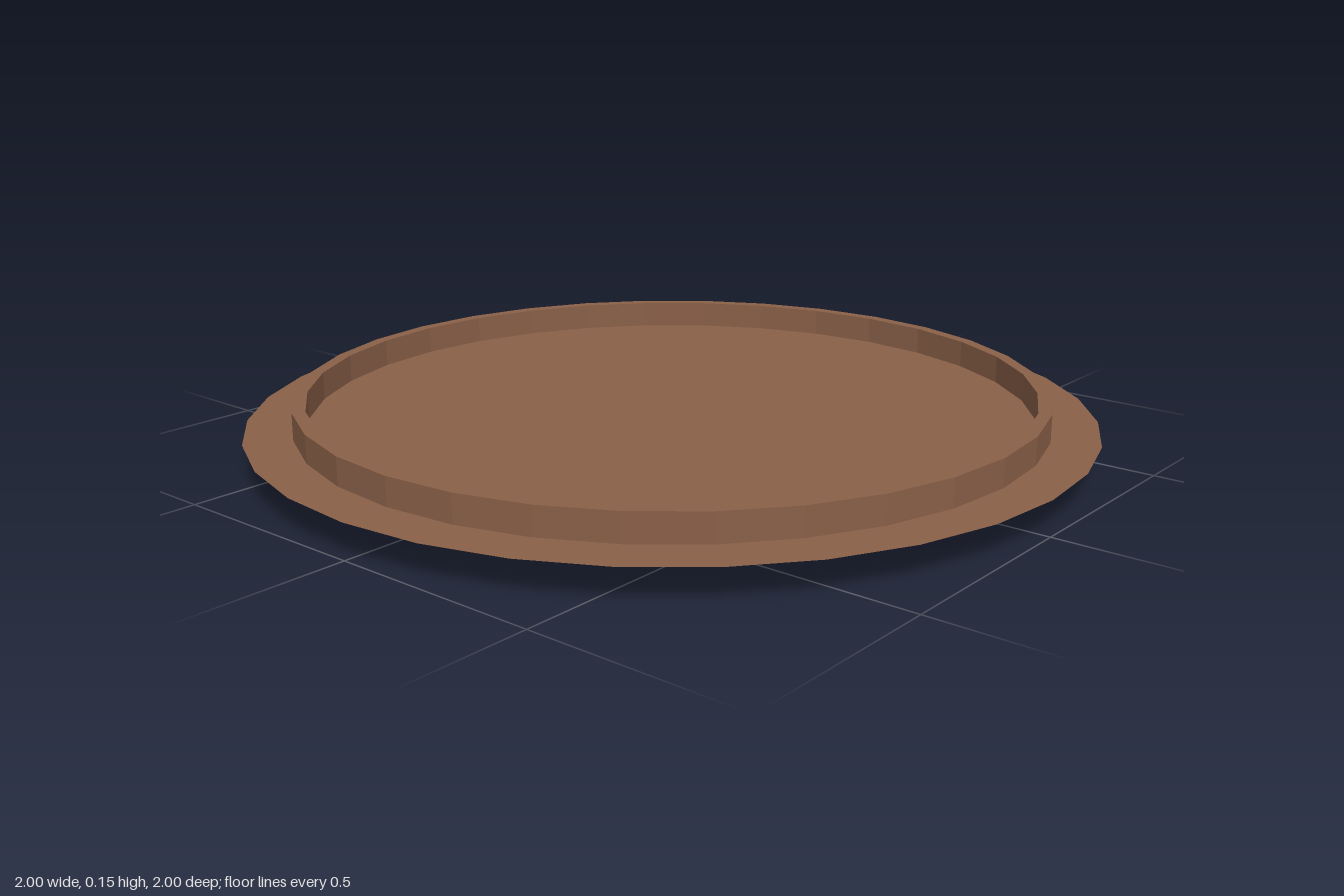
import * as THREE from 'three';

const SIDES = 32;

// Faceted solid of revolution; the profile runs from the underside outwards and back over the top
function turned(name, profile, material) {
  const points = profile.map(([r, y]) => new THREE.Vector2(r, y));
  const mesh = new THREE.Mesh(new THREE.LatheGeometry(points, SIDES), material);
  mesh.name = name;
  return mesh;
}

export function createModel() {
  const group = new THREE.Group();
  group.name = 'roundTray';
  const brown = new THREE.MeshStandardMaterial({ color: 0x8a6048, flatShading: true });
  brown.name = 'brown';

  // Shallow dish with a sharp outer edge and a flat top
  group.add(turned('dish', [[0, 0.006], [0.53, 0.006], [0.83, 0.035], [1, 0.08], [0, 0.08]], brown));

  // Thin upright ring standing on the dish
  group.add(turned('rim', [[0.888, 0.08], [0.888, 0.146], [0.857, 0.146], [0.857, 0.08]], brown));

  // Small low boss in the middle of the underside
  group.add(turned('foot', [[0, 0], [0.125, 0], [0.125, 0.006]], brown));

  return group;
}
